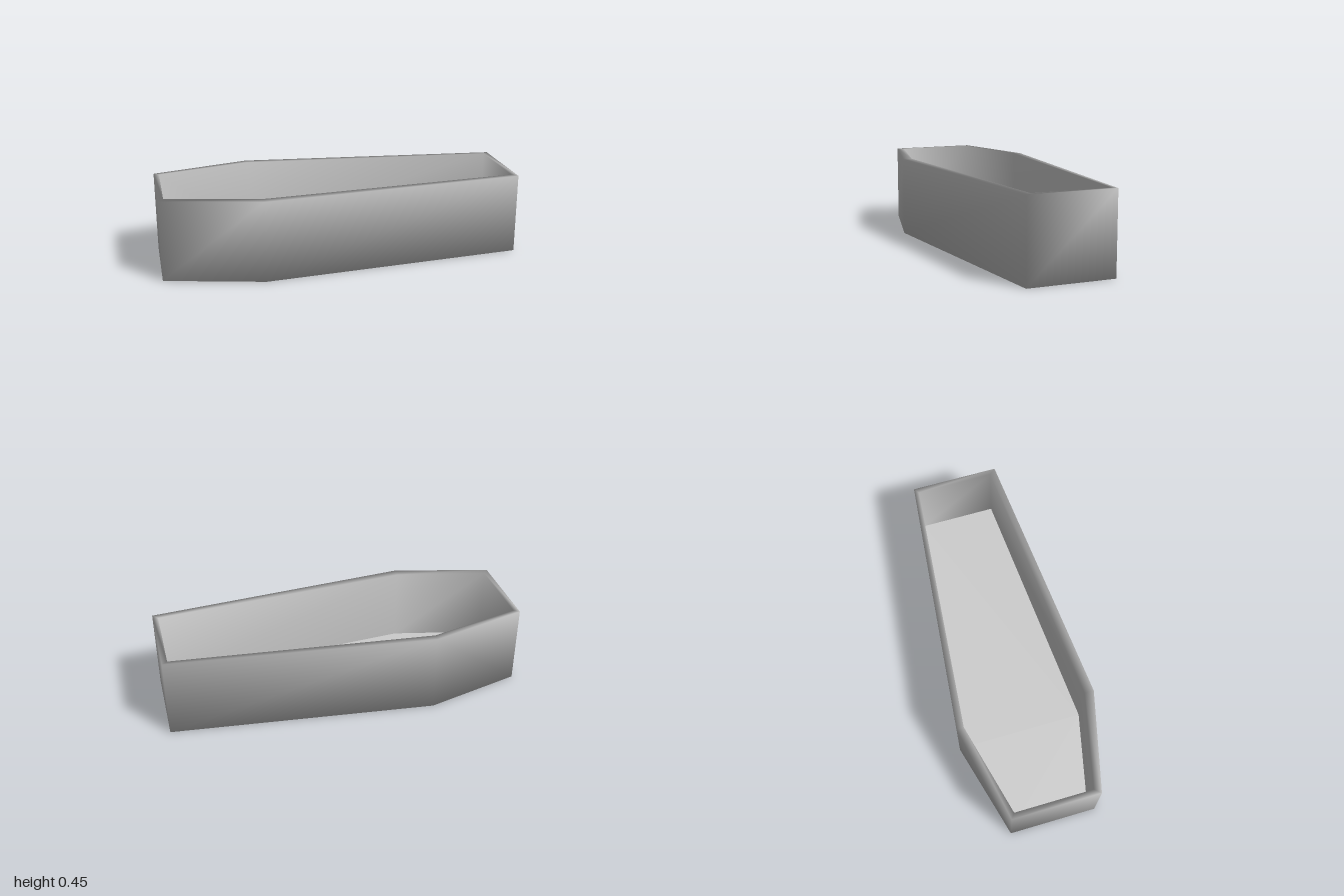
import * as THREE from 'three';

// Six-sided plans as [x, z], counter-clockwise seen from above
const OUTER = [[-0.46, 0.383], [1, 0.25], [1, -0.238], [-0.46, -0.383], [-1, -0.238], [-1, 0.25]];
const INNER = [[-0.46, 0.331], [0.97, 0.216], [0.97, -0.216], [-0.46, -0.343], [-0.97, -0.216], [-0.97, 0.216]];
const HEIGHT = 0.45;
const FLOOR = 0.03;
const SIDES = OUTER.length;

const ring = (plan, y) => plan.flatMap(([x, z]) => [x, y, z]);

function smoothGeometry(positions, index) {
  const g = new THREE.BufferGeometry();
  g.setAttribute('position', new THREE.Float32BufferAttribute(positions, 3));
  g.setIndex(index);
  g.computeVertexNormals();
  return g;
}

export function createModel() {
  const group = new THREE.Group();
  group.name = 'openCasket';
  const grey = new THREE.MeshStandardMaterial({ color: 0xcccccc });
  grey.name = 'paleGrey';

  // Shell: outer wall, rim and inner wall, joined by shared smooth normals
  const positions = [
    ...ring(OUTER, 0), ...ring(OUTER, HEIGHT),
    ...ring(INNER, HEIGHT), ...ring(INNER, FLOOR),
  ];
  const index = [];
  for (let r = 0; r < 3; r++) {
    for (let i = 0; i < SIDES; i++) {
      const j = (i + 1) % SIDES;
      const a = r * SIDES + i, b = r * SIDES + j;
      const c = b + SIDES, d = a + SIDES;
      // The back shoulder panel is split along its other diagonal
      if (i === 3) index.push(a, b, d, b, c, d);
      else index.push(a, b, c, a, c, d);
    }
  }
  // Underside, sharing the outer wall's lower corners
  for (let i = 1; i < SIDES - 1; i++) index.push(0, i + 1, i);
  const shell = new THREE.Mesh(smoothGeometry(positions, index), grey);
  shell.name = 'shell';
  group.add(shell);

  // Flat inside floor
  const floorIndex = [];
  for (let i = 1; i < SIDES - 1; i++) floorIndex.push(0, i, i + 1);
  const floor = new THREE.Mesh(smoothGeometry(ring(INNER, FLOOR), floorIndex), grey);
  floor.name = 'insideFloor';
  group.add(floor);

  return group;
}
